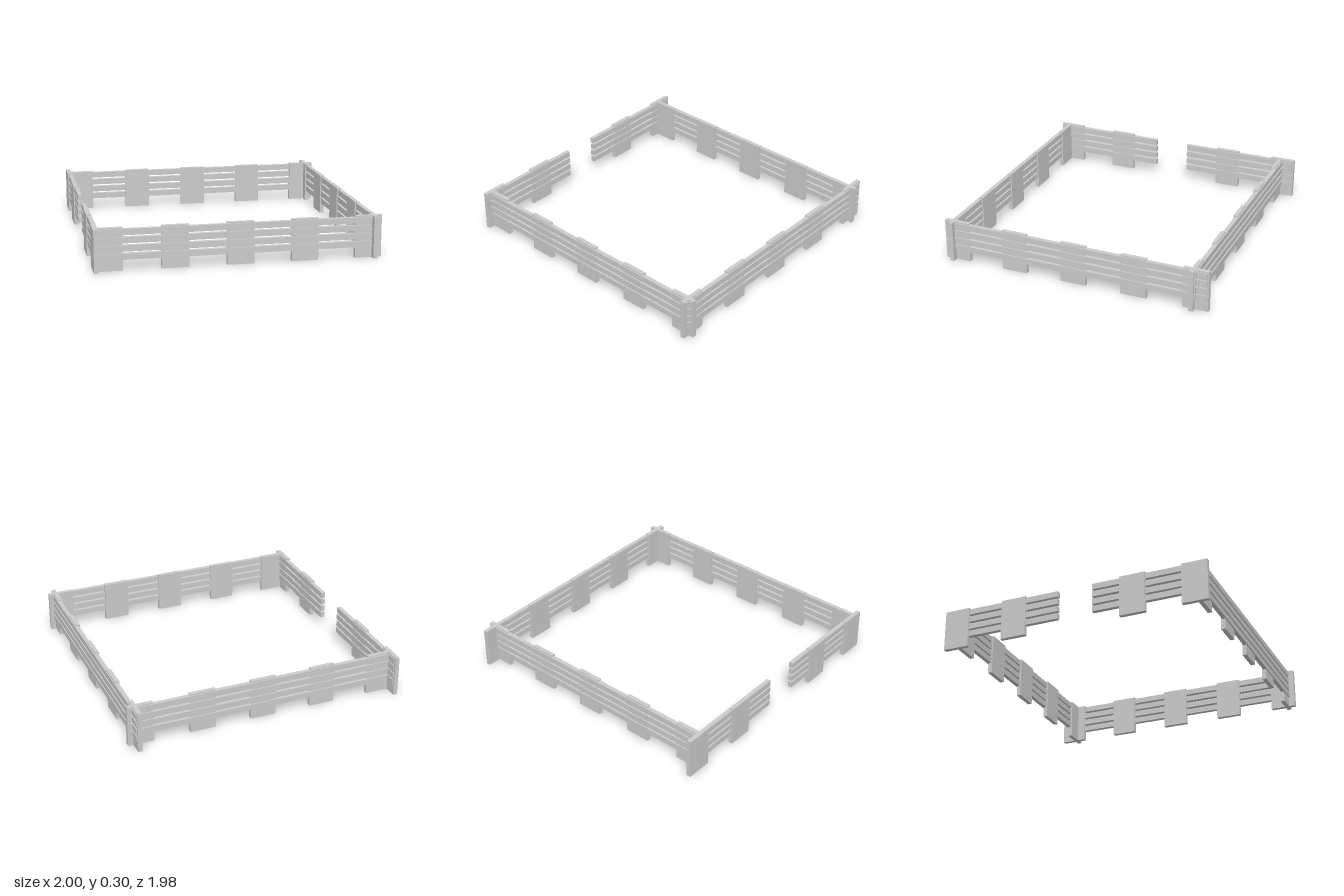
import * as THREE from 'three';

const RAIL_Y = [0.098, 0.154, 0.211, 0.267];
const RAIL_H = 0.042, THICK = 0.031;
const POST_H = 0.297, POST_W = 0.187;

export function createModel() {
  const model = new THREE.Group();
  const material = new THREE.MeshStandardMaterial({ color: 0xcccccc, flatShading: true });

  // Box running along the x or z axis; "across" is its position on the other axis
  function board(group, name, axis, along, y, across, length, height) {
    const alongX = axis === 'x';
    const size = alongX ? [length, height, THICK] : [THICK, height, length];
    const mesh = new THREE.Mesh(new THREE.BoxGeometry(...size), material);
    mesh.position.set(alongX ? along : across, y, alongX ? across : along);
    mesh.name = name;
    group.add(mesh);
  }

  // Fence side: wide post boards with four rails per span set slightly to one face
  function fence(name, axis, postAcross, railAcross, posts, spans) {
    const group = new THREE.Group();
    group.name = name;
    for (const p of posts) board(group, 'post', axis, p, POST_H / 2, postAcross, POST_W, POST_H);
    for (const [a, b] of spans)
      for (const y of RAIL_Y) board(group, 'rail', axis, (a + b) / 2, y, railAcross, b - a, RAIL_H);
    model.add(group);
  }

  const xPosts = [-2, -1, 0, 1, 2].map(i => 0.006 + i * 0.45);
  const zPosts = [-2, -1, 0, 1, 2].map(i => -0.001 + i * 0.449);

  // Front, back and left sides are unbroken
  fence('frontFence', 'x', 0.928, 0.937, xPosts, [[-0.965, 0.985]]);
  fence('backFence', 'x', -0.88, -0.889, xPosts, [[-0.965, 0.985]]);
  fence('leftFence', 'z', 0.946, 0.954, zPosts, [[-0.98, 0.965]]);

  // Right side has the entrance opening, without a middle post
  fence('entranceFence', 'z', -0.9845, -0.977, zPosts.filter((_, i) => i !== 2),
    [[-0.98, -0.11], [0.15, 0.965]]);

  return model;
}
